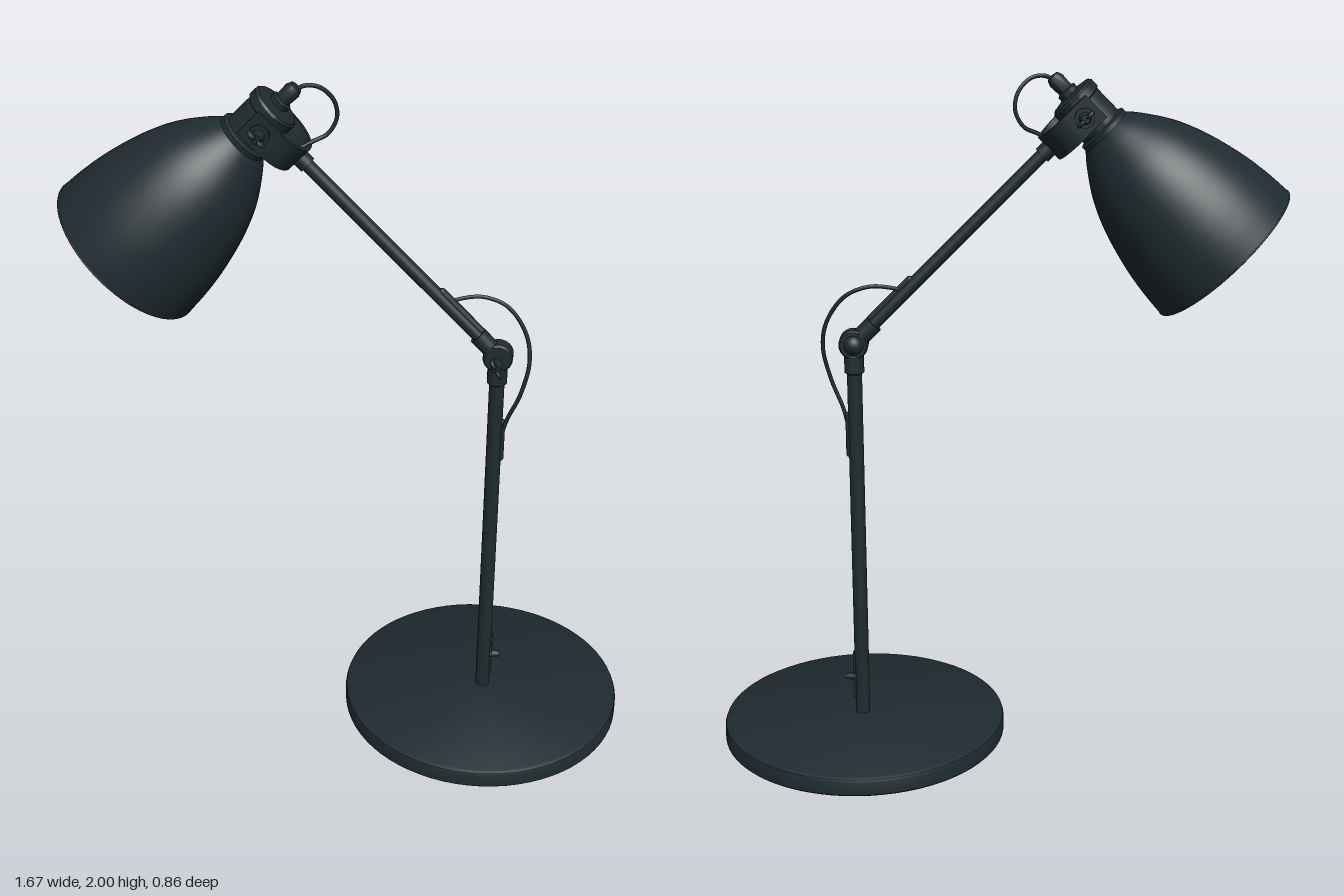
import * as THREE from 'three';
import { toCreasedNormals } from 'three/addons/utils/BufferGeometryUtils.js';

const dark = new THREE.MeshStandardMaterial({ color: 0x1e2b30 });
const shell = new THREE.MeshStandardMaterial({ color: 0x1e2b30, side: THREE.DoubleSide });
const cream = new THREE.MeshStandardMaterial({ color: 0xe8d8c4, side: THREE.DoubleSide });

function add(parent, name, geo, x = 0, y = 0, z = 0, mat = dark) {
  const m = new THREE.Mesh(geo, mat);
  m.name = name;
  m.position.set(x, y, z);
  parent.add(m);
  return m;
}
const vec2 = (pts) => pts.map(([r, y]) => new THREE.Vector2(r, y));
const lathe = (pts, seg = 40) => toCreasedNormals(new THREE.LatheGeometry(vec2(pts), seg), 0.6);
const cyl = (r, h, seg = 24) => new THREE.CylinderGeometry(r, r, h, seg);
const cable = (pts, r = 0.006) => new THREE.TubeGeometry(
  new THREE.CatmullRomCurve3(pts.map((p) => new THREE.Vector3(...p))), 60, r, 8);

// Thumb screw pointing along +z
function wingScrew(name, length) {
  const g = new THREE.Group();
  g.name = name;
  add(g, 'screwShaft', cyl(0.01, length, 12).rotateX(Math.PI / 2), 0, 0, length / 2);
  add(g, 'screwHub', new THREE.CylinderGeometry(0.012, 0.018, 0.03, 16).rotateX(Math.PI / 2), 0, 0, length);
  for (const s of [-1, 1]) {
    const wing = add(g, 'screwWing', new THREE.SphereGeometry(0.016, 14, 10), 0, s * 0.018, length + 0.014);
    wing.scale.set(0.4, 1, 0.8);
    wing.rotation.x = -s * 0.5;
  }
  return g;
}

export function createModel() {
  const lamp = new THREE.Group();
  lamp.name = 'deskLamp';
  const px = 0.41;

  // Weighted base and post
  add(lamp, 'base', lathe([[0, 0], [0.425, 0], [0.43, 0.005], [0.43, 0.044], [0.427, 0.052], [0.418, 0.057], [0, 0.058]], 72), 0.403);
  add(lamp, 'post', cyl(0.022, 1.13), px, 0.615);
  add(lamp, 'postCollar', lathe([[0.022, 1.14], [0.029, 1.145], [0.029, 1.195], [0.02, 1.205], [0, 1.205]], 24), px);

  // Rocker switch on the post
  add(lamp, 'switchPlate', new THREE.BoxGeometry(0.02, 0.15, 0.022), px + 0.016, 0.18);
  const rocker = add(lamp, 'switchRocker', new THREE.CylinderGeometry(0.008, 0.014, 0.03, 12), px + 0.034, 0.175);
  rocker.rotation.z = -Math.PI / 2;

  // Elbow joint
  add(lamp, 'elbow', lathe([[0, -0.026], [0.038, -0.026], [0.043, -0.02], [0.043, 0.02], [0.038, 0.026], [0, 0.026]], 32)
    .rotateX(Math.PI / 2), px, 1.23);
  add(lamp, 'elbowCap', new THREE.SphereGeometry(0.03, 20, 14), px, 1.23, -0.017);
  const elbowScrew = wingScrew('elbowScrew', 0.075);
  elbowScrew.position.set(px, 1.23, 0);
  elbowScrew.rotation.z = 0.5;
  lamp.add(elbowScrew);

  // Tilted arm, with y running along it
  const arm = new THREE.Group();
  arm.name = 'arm';
  arm.position.set(px, 1.23, 0);
  arm.rotation.z = Math.PI / 4;
  lamp.add(arm);
  add(arm, 'armTube', cyl(0.019, 0.78), 0, 0.41);
  add(arm, 'armCollar', cyl(0.027, 0.05), 0, 0.06);
  add(arm, 'armTip', cyl(0.025, 0.035), 0, 0.785);
  add(arm, 'armCableSleeve', new THREE.CapsuleGeometry(0.011, 0.16, 6, 12), 0.017, 0.17);

  // U-shaped fork holding the head
  const forkY = 0.926, ro = 0.092, ri = 0.08, leg = 0.045;
  const u = new THREE.Shape();
  u.moveTo(-ro, leg);
  u.lineTo(-ro, -0.04);
  u.absarc(0, -0.04, ro, Math.PI, Math.PI * 2, false);
  u.lineTo(ro, leg);
  u.lineTo(ri, leg);
  u.lineTo(ri, -0.04);
  u.absarc(0, -0.04, ri, Math.PI * 2, Math.PI, true);
  u.lineTo(-ri, leg);
  const fork = new THREE.ExtrudeGeometry(u, { depth: 0.084, bevelEnabled: false, curveSegments: 24 });
  fork.translate(0, 0, -0.042).rotateY(Math.PI / 2);
  add(arm, 'fork', toCreasedNormals(fork, 0.6), 0, forkY);
  for (const s of [-1, 1]) {
    const screw = wingScrew('headScrew', 0.06);
    screw.position.set(0, forkY, s * 0.06);
    if (s < 0) screw.rotation.y = Math.PI;
    arm.add(screw);
    add(arm, 'pivotWasher', cyl(0.028, 0.012).rotateX(Math.PI / 2), 0, forkY, s * 0.096);
  }

  // Head, with y running from the shade rim to the neck
  const head = new THREE.Group();
  head.name = 'head';
  head.position.set(-0.655, 1.495, 0);
  head.rotation.z = -Math.PI / 4;
  lamp.add(head);
  const curve = new THREE.SplineCurve(vec2([[0.25, 0], [0.243, 0.08], [0.228, 0.17], [0.198, 0.28],
    [0.16, 0.37], [0.108, 0.45], [0.07, 0.495]])).getPoints(36);
  add(head, 'shade', new THREE.LatheGeometry(curve, 72), 0, 0, 0, shell);
  const lining = curve.map((p) => new THREE.Vector2(p.x - 0.004, p.y));
  add(head, 'shadeLining', new THREE.LatheGeometry(lining, 72), 0, 0, 0, cream);
  add(head, 'shadeRim', new THREE.TorusGeometry(0.248, 0.003, 8, 72).rotateX(Math.PI / 2));
  add(head, 'neck', lathe([[0, 0.47], [0.078, 0.478], [0.078, 0.5], [0.066, 0.506], [0.066, 0.59], [0.072, 0.594],
    [0.072, 0.618], [0.066, 0.625], [0.03, 0.632], [0, 0.632]], 48));
  add(head, 'cableGland', lathe([[0.03, 0.628], [0.03, 0.645], [0.022, 0.65], [0.024, 0.685], [0.018, 0.7], [0, 0.704]], 24));

  // Socket and bulb inside the shade
  add(head, 'socket', cyl(0.045, 0.14), 0, 0.41);
  add(head, 'bulb', lathe([[0, 0.13], [0.04, 0.14], [0.07, 0.175], [0.078, 0.215], [0.065, 0.265], [0.04, 0.31], [0.032, 0.35]]),
    0, 0, 0, cream);

  // Cables looping past both joints
  add(lamp, 'headCable', cable([[-0.17, 1.975, 0], [-0.14, 1.992, -0.005], [-0.1, 1.987, -0.015], [-0.064, 1.95, -0.028],
    [-0.056, 1.9, -0.034], [-0.08, 1.855, -0.028], [-0.12, 1.835, -0.015], [-0.16, 1.815, 0]]));
  add(lamp, 'elbowCable', cable([[0.26, 1.385, 0], [0.3, 1.397, -0.01], [0.36, 1.402, -0.018], [0.43, 1.375, -0.02],
    [0.485, 1.3, -0.01], [0.5, 1.22, 0.005], [0.48, 1.12, 0.018], [0.445, 1.03, 0.01], [0.43, 0.97, 0]]));
  add(lamp, 'postCableSleeve', new THREE.CapsuleGeometry(0.01, 0.12, 6, 12), px + 0.02, 0.955);

  return lamp;
}
